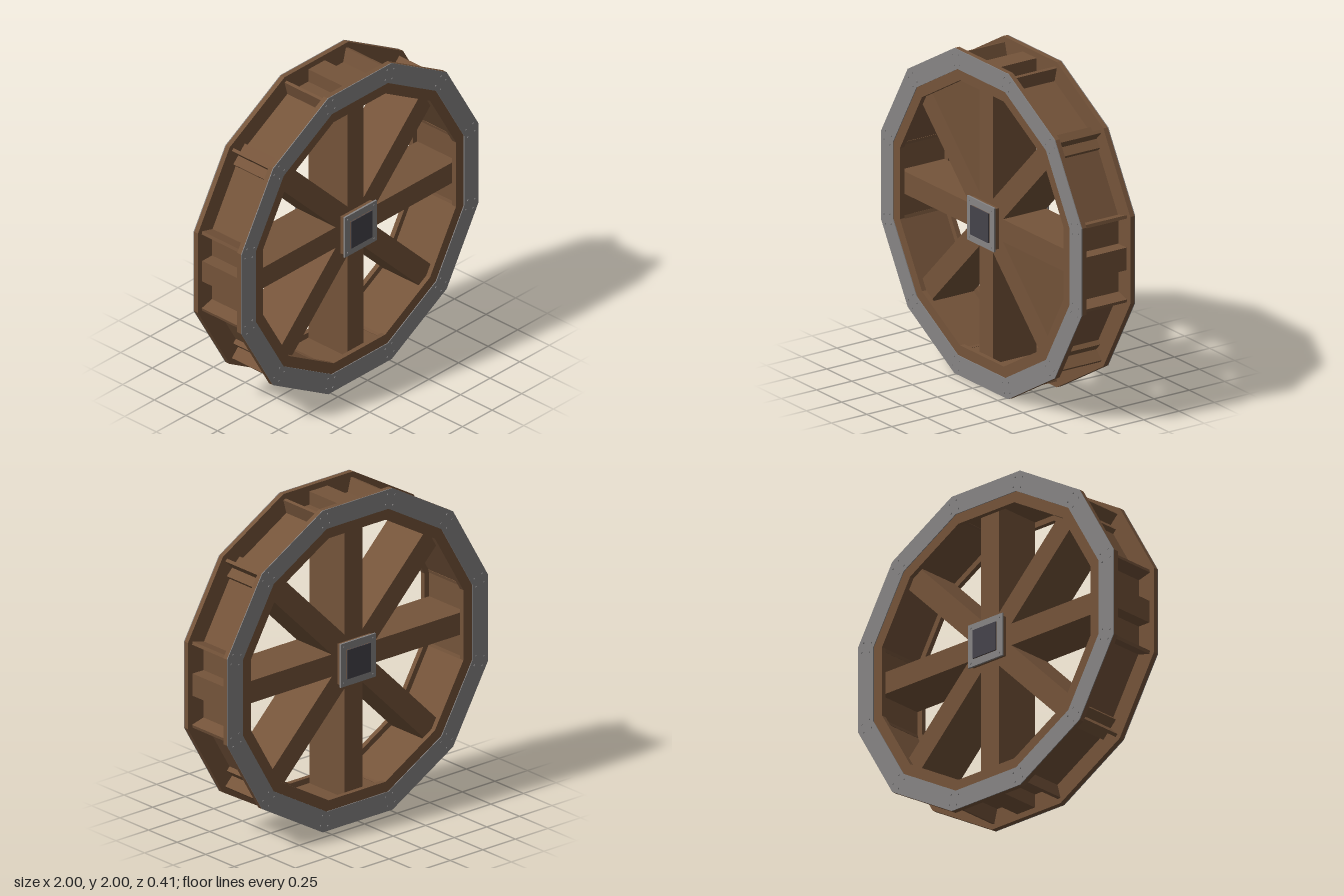
import * as THREE from 'three';

const SIDES = 12;
const STEP = (Math.PI * 2) / SIDES;
const CORNER = 1 / Math.cos(STEP / 2); // corner radius per unit of flat radius

export function createModel() {
  const wood = new THREE.MeshStandardMaterial({ color: 0x75543a });
  wood.name = 'wood';
  const iron = new THREE.MeshStandardMaterial({ color: 0x878585 });
  iron.name = 'iron';
  const dark = new THREE.MeshStandardMaterial({ color: 0x45434b });
  dark.name = 'darkIron';

  const wheel = new THREE.Group();
  wheel.name = 'wheel';
  wheel.position.y = 1;

  const add = (name, geometry, material, parent = wheel) => {
    const mesh = new THREE.Mesh(geometry, material);
    mesh.name = name;
    parent.add(mesh);
    return mesh;
  };
  const polar = (r, a) => new THREE.Vector2(r * Math.cos(a), r * Math.sin(a));
  const extrude = (shape, depth) =>
    new THREE.ExtrudeGeometry(shape, { depth, bevelEnabled: false });

  // Twelve-sided ring with flats at the top, bottom and sides
  const polygon = (flat) =>
    Array.from({ length: SIDES }, (_, i) => polar(flat * CORNER, (i + 0.5) * STEP));
  const ring = (inner, outer, z0, z1) => {
    const shape = new THREE.Shape(polygon(outer));
    shape.holes.push(new THREE.Path(polygon(inner)));
    return extrude(shape, z1 - z0).translate(0, 0, z0);
  };

  // Wooden rims and the drum floor between them
  add('frontRim', ring(0.815, 1, 0.155, 0.185), wood);
  add('backRim', ring(0.815, 1, -0.185, -0.155), wood);
  add('drumFloor', ring(0.85, 0.882, -0.155, 0.155), wood);

  // Spokes: upright and level beams poke further through the floor than diagonals
  for (let i = 0; i < 4; i++) {
    const length = i % 2 ? 1.85 : 1.93;
    add('spoke', new THREE.BoxGeometry(length, 0.138, 0.308), wood).rotation.z = (i * Math.PI) / 4;
  }

  // Radial paddles at the corners of the drum
  for (let i = 0; i < SIDES; i++) {
    const a = (i + 0.5) * STEP;
    const paddle = add('paddle', new THREE.BoxGeometry(0.125, 0.02, 0.31), wood);
    paddle.position.set(0.9375 * Math.cos(a), 0.9375 * Math.sin(a), 0);
    paddle.rotation.z = a;
  }

  // Hub block and axle
  add('hubBlock', new THREE.BoxGeometry(0.25, 0.25, 0.37), wood);
  add('axle', new THREE.BoxGeometry(0.18, 0.18, 0.398), wood);

  // Iron fittings, built for the front and turned round for the back
  const plate = new THREE.Shape([
    polar(0.88 * CORNER, -STEP / 2), polar(CORNER, -STEP / 2),
    polar(CORNER, STEP / 2), polar(0.88 * CORNER, STEP / 2),
  ]);
  const plateGeometry = extrude(plate, 0.005).translate(0, 0, 0.185);
  const square = (h) => [[-h, -h], [h, -h], [h, h], [-h, h]].map(([x, y]) => new THREE.Vector2(x, y));
  const frame = new THREE.Shape(square(0.135));
  frame.holes.push(new THREE.Path(square(0.09)));
  const frameGeometry = extrude(frame, 0.012).translate(0, 0, 0.184);
  const rivetGeometry = new THREE.CylinderGeometry(0.006, 0.006, 0.008, 6).rotateX(Math.PI / 2);

  for (const side of ['front', 'back']) {
    const fittings = new THREE.Group();
    fittings.name = side + 'Fittings';
    fittings.rotation.y = side === 'back' ? Math.PI : 0;
    wheel.add(fittings);

    const rivet = (x, y, z) => add('rivet', rivetGeometry, iron, fittings).position.set(x, y, z);

    // Rim plates with two rivets at each end
    for (let i = 0; i < SIDES; i++) {
      add('rimPlate', plateGeometry, iron, fittings).rotation.z = i * STEP;
      for (const end of [-1, 1]) {
        for (const r of [0.91, 0.97]) {
          const p = new THREE.Vector2(r, end * (r * Math.tan(STEP / 2) - 0.03));
          p.rotateAround(new THREE.Vector2(), i * STEP);
          rivet(p.x, p.y, 0.191);
        }
      }
    }

    // Square hub frame, corner rivets and axle cap
    add('hubFrame', frameGeometry, iron, fittings);
    for (const x of [-0.112, 0.112]) for (const y of [-0.112, 0.112]) rivet(x, y, 0.197);
    add('axleCap', new THREE.BoxGeometry(0.18, 0.18, 0.006), dark, fittings).position.z = 0.202;
  }

  const model = new THREE.Group();
  model.name = 'waterWheel';
  model.add(wheel);
  return model;
}
